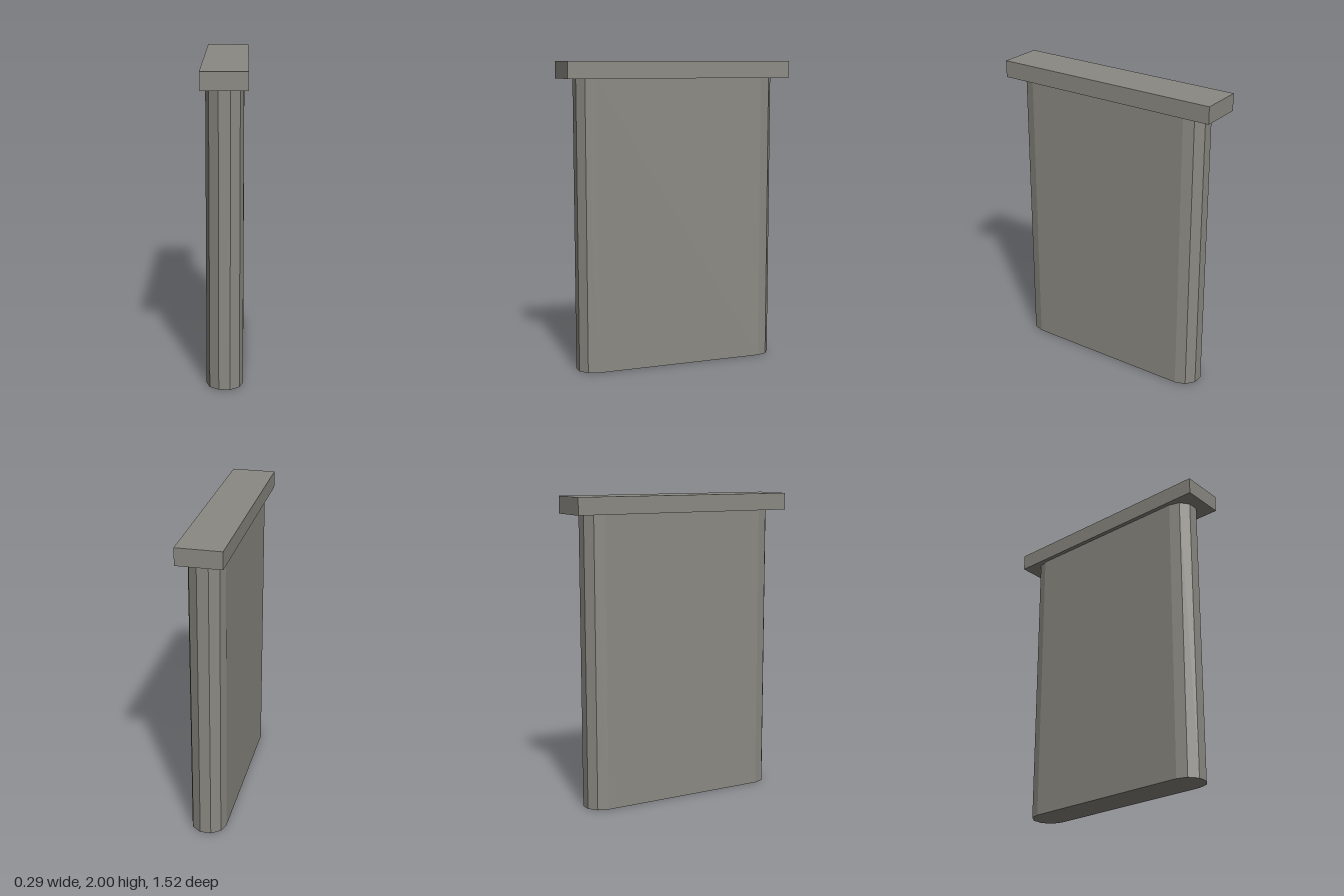
import * as THREE from 'three';

export function createModel() {
  const group = new THREE.Group();
  const stone = new THREE.MeshStandardMaterial({ color: 0x8b8982 });
  stone.name = 'stone grey';

  const capHeight = 0.11;
  const bodyHeight = 2 - capHeight;
  const radius = 0.115; // half the wall thickness
  const endCentre = 0.57; // centre of each faceted end

  // Wall outline: two half decagons joined by straight sides
  const points = [];
  for (const side of [1, -1]) {
    for (let i = 0; i <= 5; i++) {
      const a = (i * Math.PI) / 5;
      points.push(new THREE.Vector2(
        side * radius * Math.cos(a),
        side * (endCentre + radius * Math.sin(a))
      ));
    }
  }
  const bodyGeometry = new THREE.ExtrudeGeometry(new THREE.Shape(points), {
    depth: bodyHeight,
    bevelEnabled: false,
  });
  bodyGeometry.rotateX(-Math.PI / 2);
  const body = new THREE.Mesh(bodyGeometry, stone);
  body.name = 'wallBody';
  group.add(body);

  // Overhanging slab on top
  const cap = new THREE.Mesh(new THREE.BoxGeometry(0.286, capHeight, 1.525), stone);
  cap.name = 'capSlab';
  cap.position.y = 2 - capHeight / 2;
  group.add(cap);

  return group;
}
